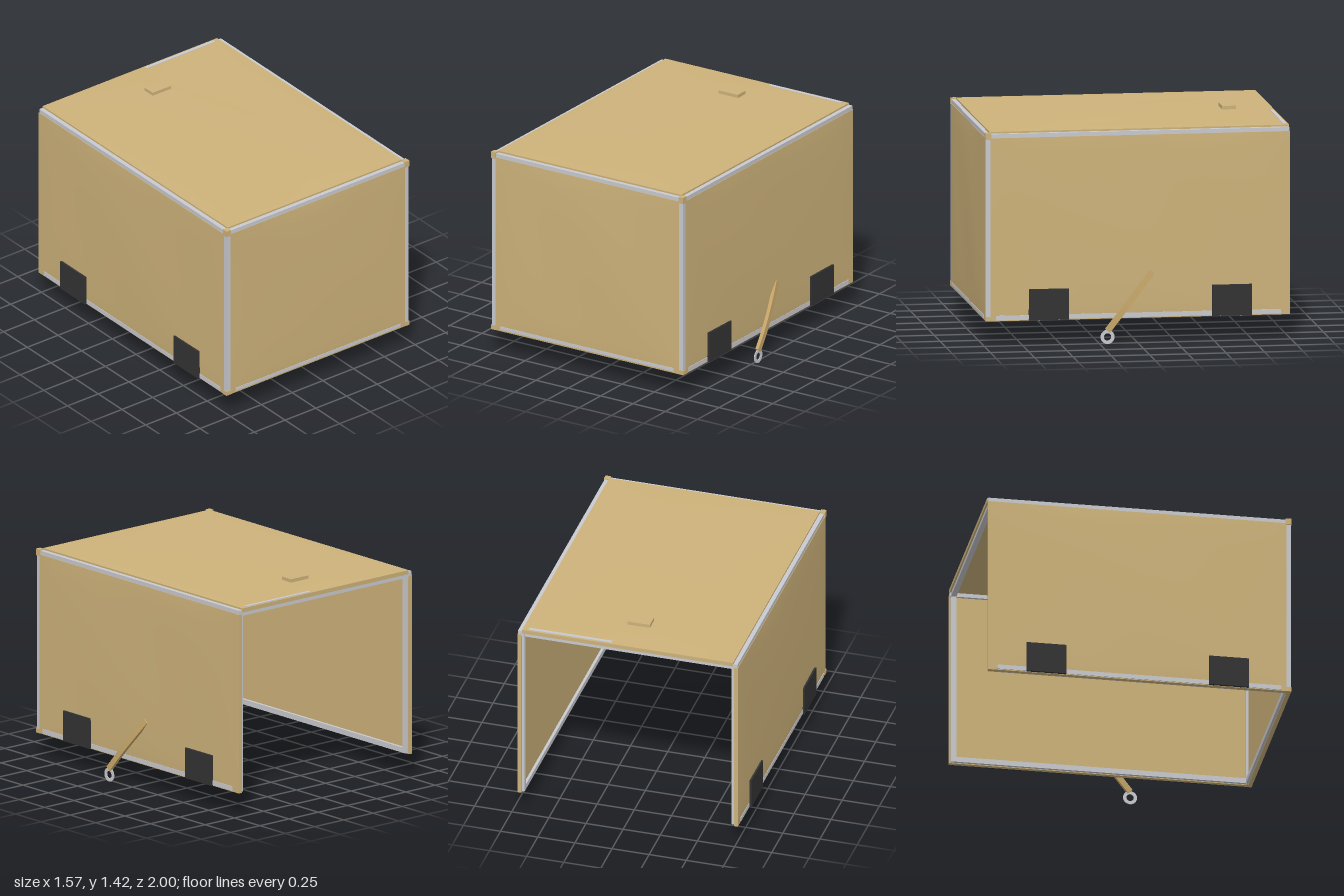
import * as THREE from 'three';

export function createModel() {
  const model = new THREE.Group();
  const mat = (name, color) => {
    const m = new THREE.MeshStandardMaterial({ color });
    m.name = name;
    return m;
  };
  const canvas = mat('tan canvas', 0xcdb27a);
  const metal = mat('pale aluminium', 0xc9cacf);
  const black = mat('black rubber', 0x333333);

  const add = (name, geo, material, x = 0, y = 0, z = 0, parent = model) => {
    const mesh = new THREE.Mesh(geo, material);
    mesh.name = name;
    mesh.position.set(x, y, z);
    parent.add(mesh);
    return mesh;
  };
  // Box given by its lower and upper corners
  const block = (name, material, a, b, parent) =>
    add(name, new THREE.BoxGeometry(b[0] - a[0], b[1] - a[1], b[2] - a[2]), material,
      (a[0] + b[0]) / 2, (a[1] + b[1]) / 2, (a[2] + b[2]) / 2, parent);

  // Slack canvas panel: a slab whose outer (+z) face bulges and ripples gently
  function panel(name, w, h, phase) {
    const t = 0.027;
    const geo = new THREE.BoxGeometry(w, h, t, 24, 24, 1);
    const p = geo.attributes.position;
    for (let i = 0; i < p.count; i++) {
      if (p.getZ(i) < 0) continue;
      const u = p.getX(i) / w + 0.5, v = p.getY(i) / h + 0.5;
      const edge = Math.max(0, 16 * u * (1 - u) * v * (1 - v));
      const ripple = 0.8 + 0.2 * Math.sin(9 * u + 4 * v + phase);
      p.setZ(i, t / 2 + 0.012 * Math.pow(edge, 0.6) * ripple);
    }
    geo.computeVertexNormals();
    return add(name, geo, canvas, 0, 0, 0, shell);
  }

  const shell = new THREE.Group();
  shell.name = 'canopyShell';
  shell.position.x = -0.03;
  model.add(shell);

  // Front, roof and side panels; the back and underside stay open
  panel('frontPanel', 1.42, 1.195, 0).position.set(0, 0.7575, 0.9715);
  const roof = panel('roofPanel', 1.42, 1.955, 1);
  roof.rotation.x = -Math.PI / 2;
  roof.position.set(0, 1.3785, -0.0225);
  for (const s of [-1, 1]) {
    const side = panel(s > 0 ? 'leftPanel' : 'rightPanel', 1.955, 1.195, 2 + s);
    side.rotation.y = s * Math.PI / 2;
    side.position.set(s * 0.7285, 0.7575, -0.0225);
  }

  // Frame rails: exposed in the corner grooves and proud of the inner walls
  const rail = (name, a, b) => block(name, metal, a, b, shell);
  for (const s of [-1, 1]) {
    const span = (lo, hi) => (s > 0 ? [lo, hi] : [-hi, -lo]);
    const [x0, x1] = span(0.697, 0.739);
    rail('frontPost', [x0, 0.163, 0.941], [x1, 1.36, 0.983]);
    rail('roofSideRail', [x0, 1.339, -0.997], [x1, 1.381, 0.96]);
    const [b0, b1] = span(0.697, 0.735);
    rail('backPost', [b0, 0.165, -0.99], [b1, 1.36, -0.955]);
    rail('lowerSideRail', [b0, 0.165, -0.985], [b1, 0.2, 0.96]);
    // Strip of rail showing through the side canvas
    const [e0, e1] = span(0.735, 0.7465);
    rail('sideHemStrip', [e0, 0.166, -0.94], [e1, 0.196, 0.92]);
    // Canvas corner caps
    const [c0, c1] = span(0.708, 0.744);
    block('cornerCap', canvas, [c0, 1.345, 0.948], [c1, 1.388, 0.987], shell);
    block('postFoot', canvas, [c0, 0.16, 0.95], [c1, 0.19, 0.986], shell);
  }
  rail('roofFrontRail', [-0.72, 1.339, 0.941], [0.72, 1.381, 0.983]);
  rail('roofBackRail', [-0.72, 1.339, -0.99], [0.72, 1.375, -0.955]);
  rail('lowerFrontRail', [-0.72, 0.165, 0.941], [0.72, 0.2, 0.975]);
  rail('frontHemStrip', [-0.67, 0.172, 0.98], [0.67, 0.194, 0.9895]);
  rail('roofHemStrip', [0.11, 1.38, -0.988], [0.67, 1.396, -0.966]);

  // Rubber flaps low on both sides
  for (const s of [-1, 1]) {
    for (const z of [0.575, -0.62]) {
      block('sidePatch', black, [s * 0.747 - 0.012, 0.163, z - 0.13],
        [s * 0.747 + 0.012, 0.365, z + 0.13], shell);
    }
  }

  // Small tag on the roof
  block('roofTag', canvas, [-0.105, 1.395, -0.75], [0.045, 1.421, -0.66]);

  // Tie-down strap, curving out from the left wall to its ring
  const path = new THREE.CatmullRomCurve3([
    new THREE.Vector3(0.715, 0.46, -0.1),
    new THREE.Vector3(0.742, 0.34, -0.003),
    new THREE.Vector3(0.762, 0.22, 0.095),
    new THREE.Vector3(0.772, 0.09, 0.2),
  ]);
  const n = 12, pos = [], idx = [];
  const across = new THREE.Vector3(0, 0.63, 0.777); // strap width direction
  for (let i = 0; i <= n; i++) {
    const c = path.getPoint(i / n);
    for (const [w, d] of [[-1, -1], [1, -1], [1, 1], [-1, 1]]) {
      pos.push(c.x + d * 0.012, c.y + w * 0.019 * across.y, c.z + w * 0.019 * across.z);
    }
    if (i === n) continue;
    for (let k = 0; k < 4; k++) {
      const a = i * 4 + k, b = i * 4 + (k + 1) % 4;
      idx.push(a, a + 4, b, b, a + 4, b + 4);
    }
  }
  idx.push(0, 1, 2, 0, 2, 3, n * 4, n * 4 + 2, n * 4 + 1, n * 4, n * 4 + 3, n * 4 + 2);
  const indexed = new THREE.BufferGeometry();
  indexed.setAttribute('position', new THREE.Float32BufferAttribute(pos, 3));
  indexed.setIndex(idx);
  const strap = indexed.toNonIndexed();
  strap.computeVertexNormals();
  // Orient the faces outward whichever way the loops run
  const strapMat = mat('strap webbing', 0xc4a568);
  strapMat.side = THREE.DoubleSide;
  add('tieStrap', strap, strapMat);

  const ringShape = new THREE.Shape().absarc(0, 0, 0.046, 0, Math.PI * 2);
  ringShape.holes.push(new THREE.Path().absarc(0, 0, 0.024, 0, Math.PI * 2, true));
  const ringGeo = new THREE.ExtrudeGeometry(ringShape, { depth: 0.006, bevelEnabled: false, curveSegments: 16 });
  add('strapRing', ringGeo, metal, 0.769, 0.05, 0.2).rotation.y = Math.PI / 2;

  return model;
}
